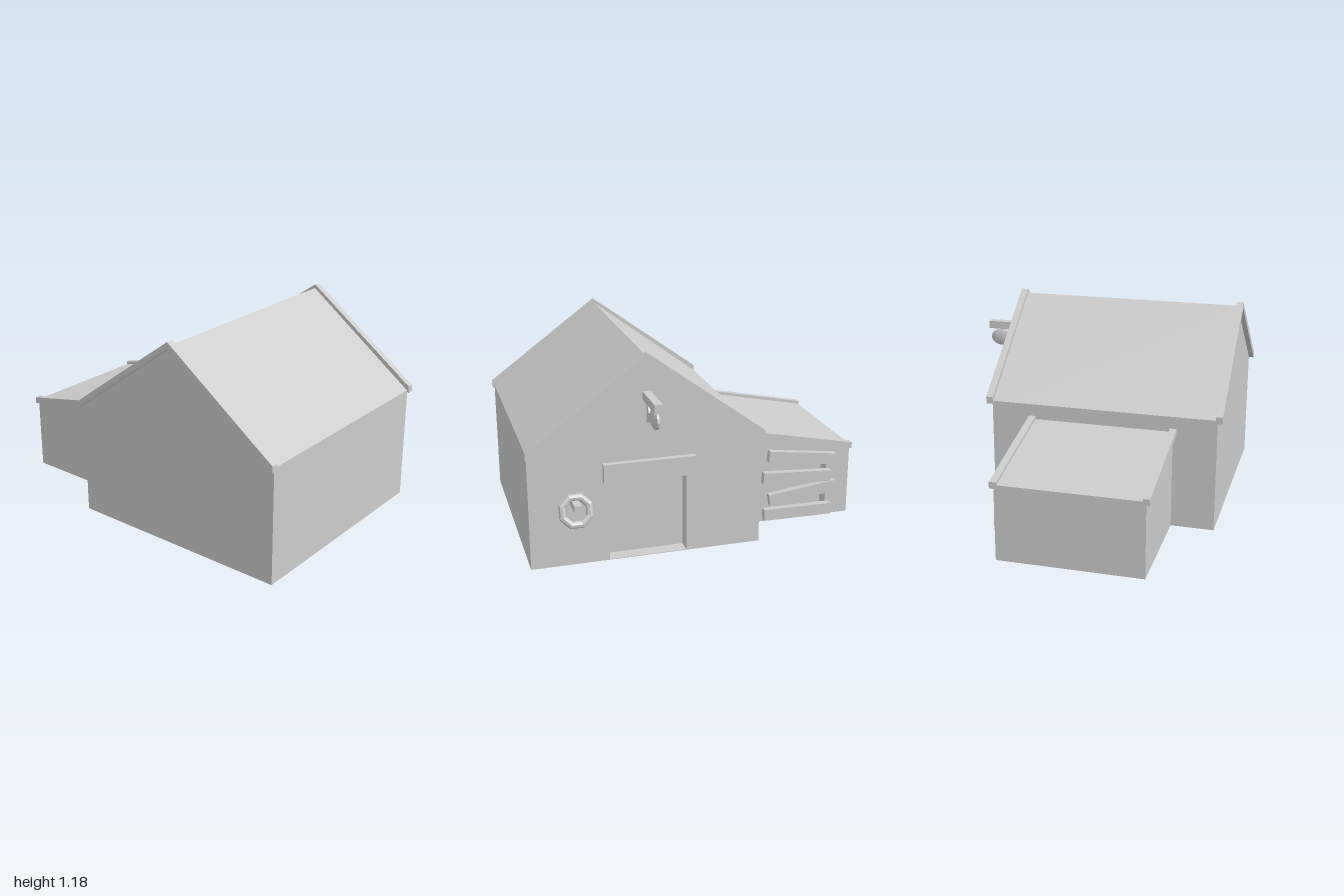
import * as THREE from 'three';

const mat = new THREE.MeshStandardMaterial({ color: 0xcccccc, flatShading: true });

function add(parent, name, geo, x = 0, y = 0, z = 0) {
  const m = new THREE.Mesh(geo, mat);
  m.name = name;
  m.position.set(x, y, z);
  parent.add(m);
  return m;
}

// Box given by its minimum and maximum corners
function box(parent, name, [x0, y0, z0], [x1, y1, z1]) {
  return add(parent, name, new THREE.BoxGeometry(x1 - x0, y1 - y0, z1 - z0),
    (x0 + x1) / 2, (y0 + y1) / 2, (z0 + z1) / 2);
}

const toVectors = (pts) => pts.map(([x, y]) => new THREE.Vector2(x, y));

// Outline in the xy plane, extruded from z0 to z1
function slab(parent, name, pts, z0, z1, hole) {
  const shape = new THREE.Shape(toVectors(pts));
  if (hole) shape.holes.push(new THREE.Path(toVectors(hole)));
  const geo = new THREE.ExtrudeGeometry(shape, { depth: z1 - z0, bevelEnabled: false });
  return add(parent, name, geo, 0, 0, z0);
}

// Rectangular doorway with a paper-thin sill
const doorway = (x0, x1, top) => [[x0, 0.004], [x0, top], [x1, top], [x1, 0.004]];

// Solid building whose back wall has a recessed doorway
function building(parent, name, profile, zBack, zFront, door) {
  const g = new THREE.Group();
  g.name = name;
  parent.add(g);
  const recess = zBack + 0.08;
  slab(g, name + 'Body', profile, recess, zFront);
  slab(g, name + 'BackWall', profile, zBack, recess, door);
  return g;
}

export function createModel() {
  const model = new THREE.Group();
  model.name = 'cabin';

  // Main gabled house
  const house = building(model, 'house',
    [[-0.33, 0], [0.99, 0], [0.99, 0.665], [0.33, 1.16], [-0.33, 0.665]],
    -0.55, 0.77, doorway(0.105, 0.55, 0.5));
  const chevron = [[-0.34, 0.65], [0.33, 1.145], [1, 0.65], [1, 0.69], [0.33, 1.183], [-0.34, 0.69]];
  slab(house, 'frontGableTrim', chevron, 0.76, 0.8);
  slab(house, 'backGableTrim', chevron, -0.585, -0.545);
  box(house, 'doorLintel', [0.06, 0.47, -0.585], [0.58, 0.58, -0.54]);

  // Side shed with a sloping roof
  const shed = building(model, 'shed',
    [[-0.995, 0], [-0.32, 0], [-0.32, 0.578], [-0.995, 0.44]],
    -0.305, 0.52, doorway(-0.85, -0.49, 0.4));
  const strip = [[-1, 0.42], [-0.33, 0.555], [-0.33, 0.595], [-1, 0.457]];
  slab(shed, 'frontShedTrim', strip, 0.503, 0.54);
  slab(shed, 'backShedTrim', strip, -0.328, -0.288);

  // Crooked planks nailed across the shed doorway: x, y, tilt
  for (const [x, y, tilt] of [[-0.68, 0.395, 0.13], [-0.65, 0.275, 0.06], [-0.69, 0.17, -0.12], [-0.66, 0.05, 0.01]]) {
    add(shed, 'plank', new THREE.BoxGeometry(0.43, 0.07, 0.04), x, y, -0.324).rotation.z = tilt;
  }

  // Hanging fish sign
  const sign = new THREE.Group();
  sign.name = 'fishSign';
  model.add(sign);
  box(sign, 'signBeam', [0.307, 0.92, -0.8], [0.353, 0.967, -0.54]);
  const body = new THREE.SphereGeometry(1, 10, 8);
  body.scale(0.022, 0.055, 0.08);
  add(sign, 'fishBody', body, 0.33, 0.863, -0.718);
  const tail = new THREE.Shape(toVectors([[0.66, 0.853], [0.635, 0.855], [0.61, 0.808], [0.592, 0.806],
    [0.588, 0.83], [0.6, 0.862], [0.588, 0.895], [0.592, 0.916], [0.61, 0.914], [0.635, 0.872], [0.66, 0.875]]));
  const tailGeo = new THREE.ExtrudeGeometry(tail, { depth: 0.024, bevelEnabled: false });
  tailGeo.rotateY(Math.PI / 2);
  add(sign, 'fishTail', tailGeo, 0.318, 0, 0);

  // Ring leaning on a peg
  box(model, 'ringPeg', [0.722, 0.36, -0.675], [0.762, 0.4, -0.54]);
  const ring = new THREE.TorusGeometry(0.08, 0.021, 8, 8);
  ring.rotateZ(Math.PI / 8);
  add(model, 'hangingRing', ring, 0.742, 0.343, -0.604).rotation.x = 0.27;

  return model;
}
